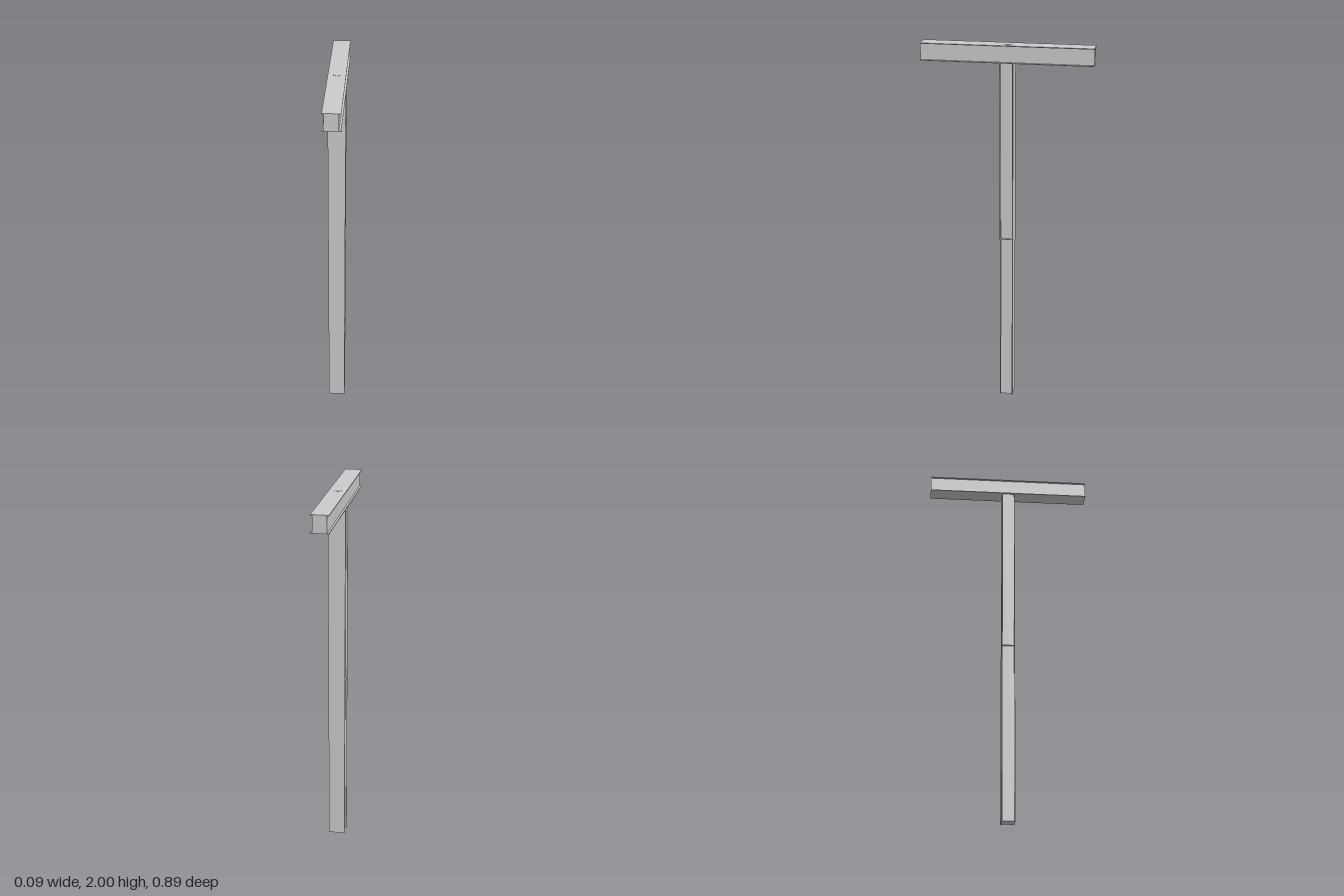
import * as THREE from 'three';

const material = new THREE.MeshStandardMaterial({ color: 0xcccccc, flatShading: true });

// I-section: flanges span the width, a thick core joins them; extruded along its length
function steelSection(name, width, height, core, flange, length) {
  const w = width / 2, h = height / 2, c = core / 2, f = h - flange;
  const outline = [
    [-w, -h], [w, -h], [w, -f], [c, -f], [c, f], [w, f],
    [w, h], [-w, h], [-w, f], [-c, f], [-c, -f], [-w, -f],
  ].map(([x, y]) => new THREE.Vector2(x, y));
  const geometry = new THREE.ExtrudeGeometry(new THREE.Shape(outline), { depth: length, bevelEnabled: false });
  geometry.translate(0, 0, -length / 2);
  const mesh = new THREE.Mesh(geometry, material);
  mesh.name = name;
  return mesh;
}

export function createModel() {
  const model = new THREE.Group();
  model.name = 'tPost';
  const beamHeight = 0.09, top = 1.999, postHeight = top - beamHeight;

  // Crossbeam running front to back
  const beam = steelSection('crossbeam', 0.09, beamHeight, 0.07, 0.004, 0.886);
  beam.position.y = top - beamHeight / 2;
  model.add(beam);

  // Upright post, flanges facing front and back
  const post = steelSection('post', 0.09, 0.07, 0.07, 0.004, postHeight);
  post.rotation.x = -Math.PI / 2;
  post.position.y = postHeight / 2;
  model.add(post);

  // Thin stiffeners in the post's side channels at mid height
  for (const side of [-1, 1]) {
    const rib = new THREE.Mesh(new THREE.BoxGeometry(0.008, 0.004, 0.062), material);
    rib.name = side > 0 ? 'leftStiffener' : 'rightStiffener';
    rib.position.set(side * 0.039, postHeight / 2, 0);
    model.add(rib);
  }

  // Low round cap on top of the beam, over the post
  const cap = new THREE.Mesh(new THREE.CylinderGeometry(0.02, 0.02, 0.002, 24), material);
  cap.name = 'topCap';
  cap.position.y = 1.999;
  model.add(cap);
  return model;
}
